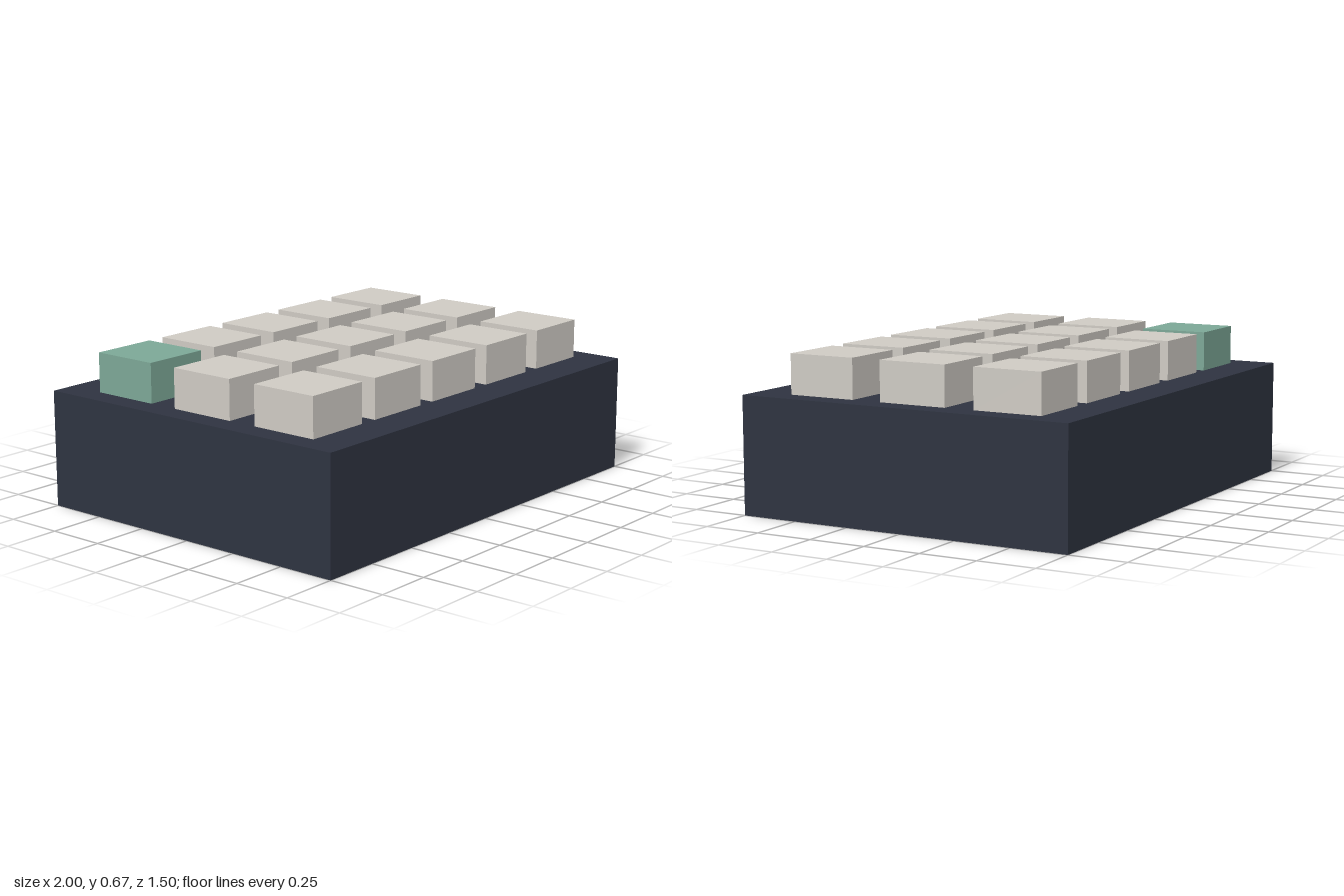
import * as THREE from 'three';

export function createModel() {
  const model = new THREE.Group();
  model.name = 'keypad';

  const caseMaterial = new THREE.MeshStandardMaterial({ color: 0x2e3340 });
  const keyMaterial = new THREE.MeshStandardMaterial({ color: 0xcecac3 });
  const accentMaterial = new THREE.MeshStandardMaterial({ color: 0x7ca796 });

  // Solid case
  const body = new THREE.Mesh(new THREE.BoxGeometry(2, 0.5, 1.5), caseMaterial);
  body.name = 'case';
  body.position.y = 0.25;
  model.add(body);

  // Grid of square keys, with the back corner key in the accent colour
  const columns = 5, rows = 3, pitchX = 0.375, pitchZ = 0.43, keyHeight = 0.17;
  const keyGeometry = new THREE.BoxGeometry(0.295, keyHeight, 0.3);
  const keys = new THREE.Group();
  keys.name = 'keys';
  for (let row = 0; row < rows; row++) {
    for (let column = 0; column < columns; column++) {
      const isAccent = row === 0 && column === 0;
      const key = new THREE.Mesh(keyGeometry, isAccent ? accentMaterial : keyMaterial);
      key.name = isAccent ? 'accentKey' : `key_${row + 1}_${column + 1}`;
      key.position.set(
        (column - (columns - 1) / 2) * pitchX,
        0.5 + keyHeight / 2,
        (row - (rows - 1) / 2) * pitchZ
      );
      keys.add(key);
    }
  }
  model.add(keys);

  return model;
}
